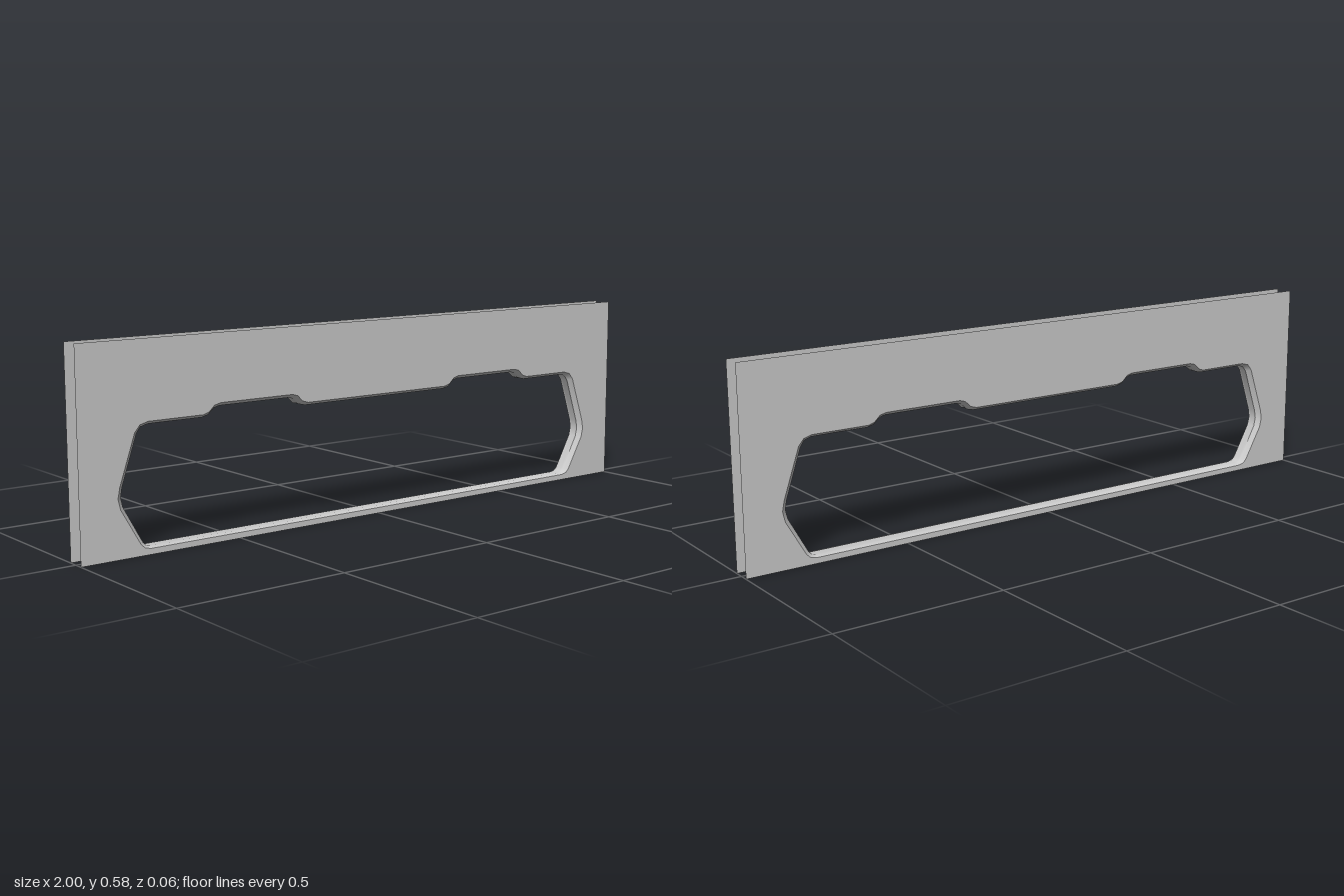
import * as THREE from 'three';
import { toCreasedNormals } from 'three/addons/utils/BufferGeometryUtils.js';

const W = 1, H = 0.585, D = 0.028;

// Right half of the opening, top centre to bottom: [plate edge x, y, throat x, y]
const HALF = [
  [0.262, 0.363, 0.265, 0.354],
  [0.282, 0.369, 0.287, 0.359],
  [0.300, 0.386, 0.305, 0.376],
  [0.318, 0.391, 0.322, 0.381],
  [0.560, 0.391, 0.557, 0.381],
  [0.580, 0.386, 0.575, 0.376],
  [0.598, 0.369, 0.594, 0.359],
  [0.616, 0.363, 0.614, 0.354],
  [0.790, 0.363, 0.785, 0.354],
  [0.815, 0.356, 0.806, 0.348],
  [0.831, 0.337, 0.819, 0.331],
  [0.880, 0.195, 0.866, 0.192],
  [0.886, 0.165, 0.871, 0.165],
  [0.879, 0.135, 0.865, 0.138],
  [0.820, 0.032, 0.808, 0.036],
  [0.808, 0.021, 0.799, 0.025],
  [0.790, 0.017, 0.786, 0.021],
];
const LOOP = [...HALF, ...HALF.slice().reverse().map(([a, b, c, d]) => [-a, b, -c, d])];

// Cross-section of the reveal: [z, how far from plate edge to throat]
const PROFILE = [
  [D, 0], [0.021, 0.55], [0.015, 1], [0.006, 0.9], [0, 0.8],
  [-0.006, 0.9], [-0.015, 1], [-0.021, 0.55], [-D, 0],
];

// Thin flat plate with the shaped opening
function plateGeometry() {
  const shape = new THREE.Shape([
    new THREE.Vector2(-W, 0), new THREE.Vector2(W, 0),
    new THREE.Vector2(W, H), new THREE.Vector2(-W, H),
  ]);
  shape.holes.push(new THREE.Path(LOOP.map(([x, y]) => new THREE.Vector2(x, y))));
  return new THREE.ShapeGeometry(shape);
}

// Flared band lining the opening between both plates
function revealGeometry() {
  const pos = [], idx = [], n = LOOP.length;
  for (const [z, t] of PROFILE) {
    for (const [ox, oy, ix, iy] of LOOP) pos.push(ox + (ix - ox) * t, oy + (iy - oy) * t, z);
  }
  for (let r = 0; r < PROFILE.length - 1; r++) {
    for (let i = 0; i < n; i++) {
      const a = r * n + i, b = r * n + (i + 1) % n;
      idx.push(a, b, a + n, b, b + n, a + n);
    }
  }
  const g = new THREE.BufferGeometry();
  g.setAttribute('position', new THREE.Float32BufferAttribute(pos, 3));
  g.setIndex(idx);
  return toCreasedNormals(g, 0.9);
}

export function createModel() {
  const group = new THREE.Group();
  group.name = 'windowFrame';
  const material = new THREE.MeshStandardMaterial({ color: 0xcccccc, side: THREE.DoubleSide });
  const add = (name, geometry) => {
    const mesh = new THREE.Mesh(geometry, material);
    mesh.name = name;
    group.add(mesh);
    return mesh;
  };

  // Front and back plates, open around the outside
  add('frontPlate', plateGeometry()).position.z = D;
  const back = add('backPlate', plateGeometry());
  back.rotation.y = Math.PI;
  back.position.z = -D;

  add('openingReveal', revealGeometry());
  return group;
}
